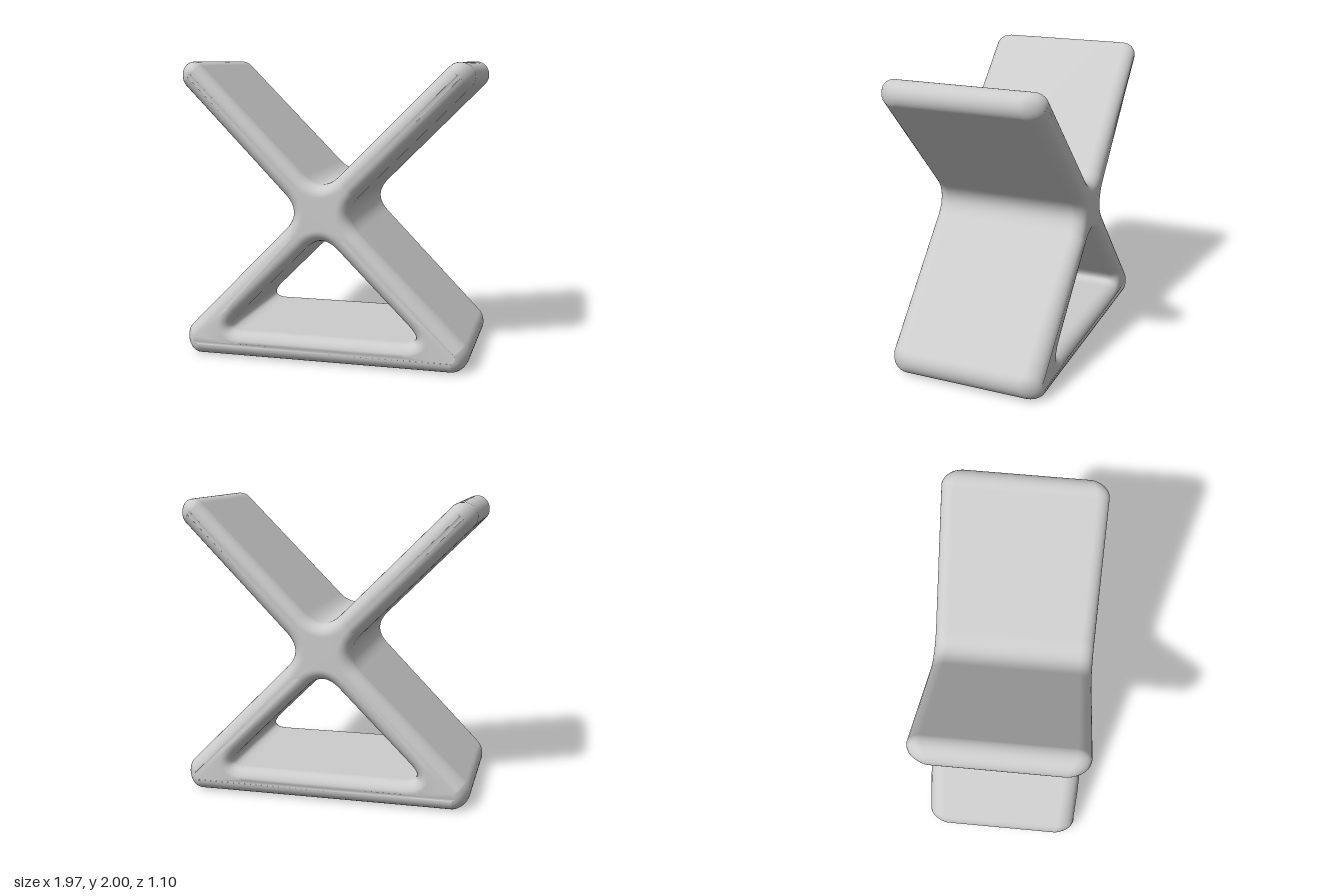
import * as THREE from 'three';
import { mergeVertices } from 'three/addons/utils/BufferGeometryUtils.js';

const CROSS = 1.015;  // height where the two slabs cross
const HALF = 0.13;    // half slab thickness measured along x or y
const FILLET = 0.12;  // run of the blend in each crotch
const DEPTH = 1.1;
const BEVEL = 0.078;
const ROUND = 0.09;

// Crossed slabs joined at the foot by a base slab
function frameShape() {
  const s = new THREE.Shape();
  const q = Math.PI / 4;
  const top = CROSS + HALF;
  s.moveTo(-0.873, 0);
  s.lineTo(0.873, 0);
  s.absarc(0.873, 0.11, 0.11, -2 * q, q, false);                 // left foot
  s.lineTo(HALF + FILLET, CROSS - FILLET);
  s.quadraticCurveTo(HALF, CROSS, HALF + FILLET, CROSS + FILLET);
  s.absarc(0.89, 1.907, 0.092, -q, 3 * q, false);                // left tip
  s.lineTo(FILLET, top + FILLET);
  s.quadraticCurveTo(0, top, -FILLET, top + FILLET);
  s.absarc(-0.89, 1.907, 0.092, q, 5 * q, false);                // right tip
  s.lineTo(-HALF - FILLET, CROSS + FILLET);
  s.quadraticCurveTo(-HALF, CROSS, -HALF - FILLET, CROSS - FILLET);
  s.absarc(-0.873, 0.11, 0.11, 3 * q, 6 * q, false);             // right foot

  // Triangular opening with rounded corners
  const h = new THREE.Path();
  const apex = CROSS - HALF, floor = 0.18, cx = apex - floor;
  h.moveTo(-cx + 0.15, floor);
  h.lineTo(cx - 0.15, floor);
  h.quadraticCurveTo(cx, floor, cx - 0.12, floor + 0.12);
  h.lineTo(0.11, apex - 0.11);
  h.quadraticCurveTo(0, apex, -0.11, apex - 0.11);
  h.lineTo(-cx + 0.12, floor + 0.12);
  h.quadraticCurveTo(-cx, floor, -cx + 0.15, floor);
  s.holes.push(h);
  return s;
}

export function createModel() {
  const group = new THREE.Group();
  group.name = 'crossedStand';
  const grey = new THREE.MeshStandardMaterial({ color: 0xcccccc });
  grey.name = 'light grey';

  let geo = new THREE.ExtrudeGeometry(frameShape(), {
    depth: DEPTH - 2 * ROUND,
    curveSegments: 14,
    bevelEnabled: true,
    bevelSize: BEVEL,
    bevelOffset: -BEVEL,
    bevelThickness: ROUND,
    bevelSegments: 7,
  });
  geo.translate(0, 0, -DEPTH / 2 + ROUND);

  // Draw the corners in towards the middle at the slab ends
  const p = geo.attributes.position;
  for (let i = 0; i < p.count; i++) {
    const t = Math.max(0, (Math.abs(p.getX(i)) - 0.83) / 0.15);
    const z = p.getZ(i);
    p.setZ(i, z - Math.sign(z) * 0.06 * t * t);
  }

  // Smooth normals over the whole rounded body
  geo.deleteAttribute('normal');
  geo.deleteAttribute('uv');
  geo.clearGroups();
  geo = mergeVertices(geo, 1e-4);
  geo.computeVertexNormals();

  const frame = new THREE.Mesh(geo, grey);
  frame.name = 'crossedSlabFrame';
  group.add(frame);
  return group;
}
